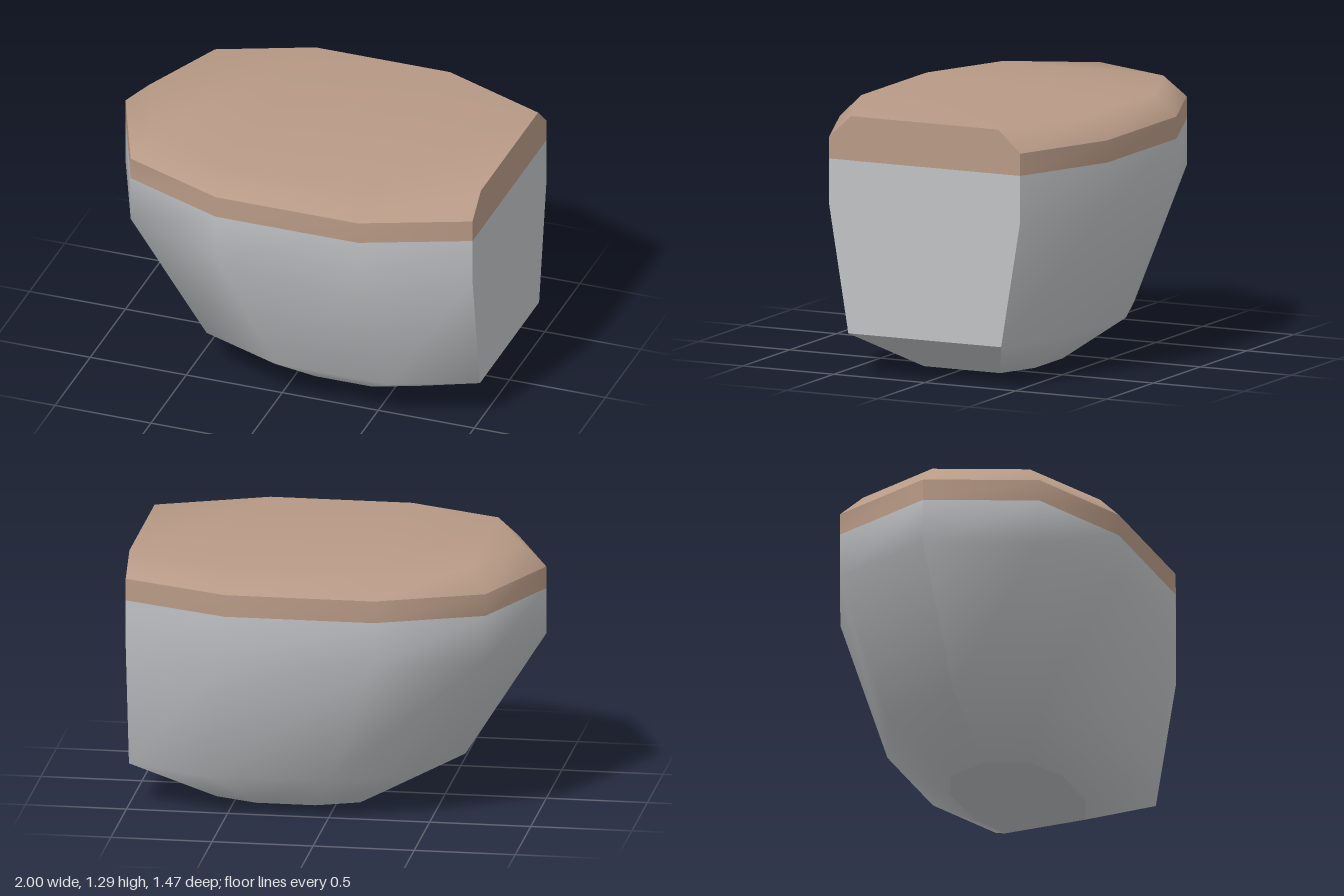
import * as THREE from 'three';

// Half of the plan outline, from the flat end round to the pointed end
const HALF = [[1, 0.525], [0.48, 0.735], [-0.26, 0.735], [-0.78, 0.525], [-1, 0]];
// The same outline moved inwards for the roof chamfer
const INSET = [[1, 0.405], [0.46, 0.627], [-0.24, 0.627], [-0.695, 0.44], [-0.88, 0]];

// Full ring of nine points at height y: +z side, point, -z side
function ring(y, half = HALF, scale = 1, shift = 0) {
  const side = half.map(([x, z]) => new THREE.Vector3(x * scale + shift, y, z * scale));
  const mirrored = side.slice(0, -1).reverse().map((p) => new THREE.Vector3(p.x, p.y, -p.z));
  return [...side, ...mirrored];
}

function build(points, index) {
  const g = new THREE.BufferGeometry().setFromPoints(points);
  g.setIndex(index);
  g.computeVertexNormals();
  return g;
}

// Faces between successive rows of points, lowest row first
function skinIndex(rows, cols, start = 0) {
  const index = [];
  for (let r = 0; r < rows - 1; r++) {
    for (let i = 0; i < cols - 1; i++) {
      const a = start + r * cols + i, b = a + cols;
      index.push(a, b, a + 1, b, b + 1, a + 1);
    }
  }
  return index;
}

// Faces closing a ring straight across from side to side
function capIndex(n, start, up) {
  const index = [];
  for (let i = 0; i < (n - 1) / 2; i++) {
    const j = n - 1 - i;
    const tris = [[i, j, i + 1]];
    if (j - 1 > i + 1) tris.push([j, j - 1, i + 1]);
    for (const [a, b, c] of tris) index.push(...(up ? [a, b, c] : [a, c, b]).map((k) => k + start));
  }
  return index;
}

const skin = (rows) => build(rows.flat(), skinIndex(rows.length, rows[0].length));
const endPair = (r) => [r[8], r[0]];

export function createModel() {
  const model = new THREE.Group();
  const grey = new THREE.MeshStandardMaterial({ color: 0xbfc1c4 });
  grey.name = 'grey body';
  const tan = new THREE.MeshStandardMaterial({ color: 0xb89a86 });
  tan.name = 'tan top';

  const add = (name, geometry, material) => {
    const mesh = new THREE.Mesh(geometry, material);
    mesh.name = name;
    model.add(mesh);
  };

  const base = ring(0, HALF, 0.4, 0.2);
  const chine = ring(0.21, HALF, 0.8, 0.2);
  const shoulder = ring(0.84);
  const seam = ring(1.07);
  const rim = ring(1.18);
  const roof = ring(1.29, INSET);

  // Smooth sides, split in two to keep a sharp edge at the point
  for (const [side, from, to] of [['left', 0, 5], ['right', 4, 9]]) {
    const cut = (r) => r.slice(from, to);
    add(side + 'BodySide', skin([base, chine, shoulder, seam].map(cut)), grey);
    add(side + 'RimBand', skin([seam, rim].map(cut)), tan);
  }

  // Flat end and the ramp below it
  add('endRamp', skin([base, chine].map(endPair)), grey);
  add('endFace', skin([chine, shoulder, seam].map(endPair)), grey);
  add('endRim', skin([seam, rim, roof].map(endPair)), tan);

  // Flat underside
  add('underside', build(base, capIndex(9, 0, false)), grey);

  // Chamfer and top share normals so they shade softly
  add('top', build([...rim, ...roof], [...skinIndex(2, 9), ...capIndex(9, 9, true)]), tan);

  return model;
}
